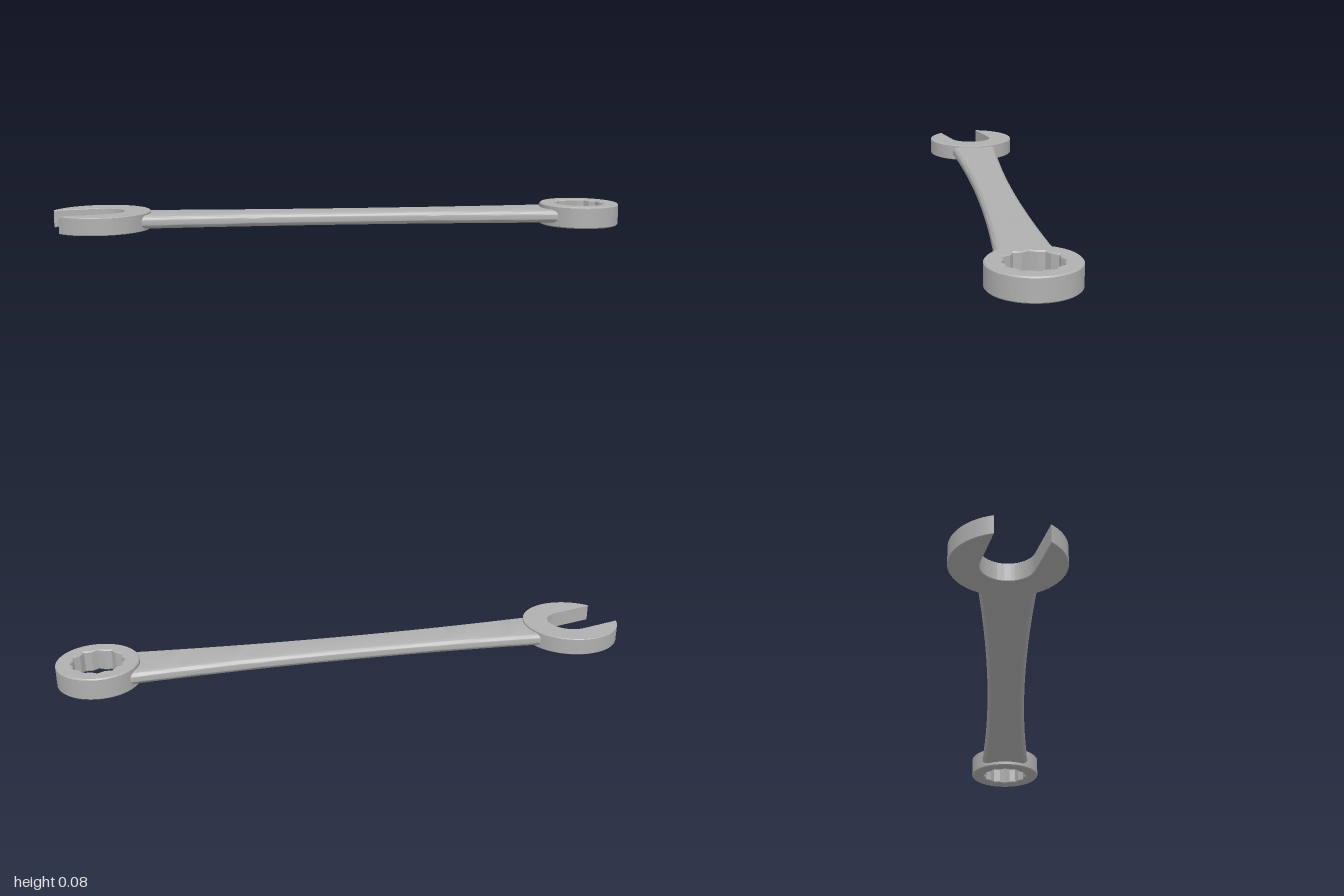
import * as THREE from 'three';
import { toCreasedNormals } from 'three/addons/utils/BufferGeometryUtils.js';

const MID_Y = 0.038; // shared mid-plane of all parts

// Flat plate from a plan outline, with a small chamfer, centred on the mid-plane
function plate(shape, height, chamfer) {
  const geo = new THREE.ExtrudeGeometry(shape, {
    depth: height - 2 * chamfer, curveSegments: 64,
    bevelEnabled: true, bevelSegments: 1,
    bevelThickness: chamfer, bevelSize: chamfer, bevelOffset: -chamfer,
  });
  geo.translate(0, 0, chamfer - height / 2);
  geo.rotateX(-Math.PI / 2);
  return toCreasedNormals(geo, 0.5);
}

export function createModel() {
  const group = new THREE.Group();
  const steel = new THREE.MeshStandardMaterial({ color: 0xb0b0b0 });
  steel.name = 'steel';

  function add(name, geo, x) {
    const mesh = new THREE.Mesh(geo, steel);
    mesh.name = name;
    mesh.position.set(x, MID_Y, 0);
    group.add(mesh);
    return mesh;
  }

  // Open jaw: disc with a round-bottomed slot, turned 15 degrees
  const R = 0.17, slot = 0.08;
  const tip = Math.PI - Math.asin(slot / R);
  const jaw = new THREE.Shape();
  jaw.absarc(0, 0, R, -tip, tip, false);
  jaw.lineTo(0, slot);
  jaw.absarc(0, 0, slot, Math.PI / 2, -Math.PI / 2, true);
  jaw.closePath();
  add('openJaw', plate(jaw, 0.06, 0.002), -0.833).rotation.y = Math.PI / 12;

  // Ring end with a twelve-point socket
  const ring = new THREE.Shape();
  ring.absarc(0, 0, 0.139, 0, Math.PI * 2, false);
  const socket = [];
  for (let i = 0; i < 24; i++) {
    const r = i % 2 ? 0.0825 : 0.092, a = -i * Math.PI / 12;
    socket.push(new THREE.Vector2(r * Math.cos(a), r * Math.sin(a)));
  }
  ring.holes.push(new THREE.Path(socket));
  add('ringEnd', plate(ring, 0.076, 0.004), 0.861);

  // Handle: round-edged bar that widens towards both ends
  const r = 0.023, core = 0.043, x0 = -0.72, x1 = 0.762;
  const section = new THREE.Shape();
  section.absarc(core, 0, r, -Math.PI / 2, Math.PI / 2, false);
  section.absarc(-core, 0, r, Math.PI / 2, Math.PI * 1.5, false);
  section.closePath();
  const bar = new THREE.ExtrudeGeometry(section, {
    depth: x1 - x0, steps: 40, curveSegments: 16, bevelEnabled: false,
  });
  bar.rotateY(Math.PI / 2);
  bar.translate(x0, 0, 0);
  const p = bar.attributes.position;
  for (let i = 0; i < p.count; i++) {
    const z = p.getZ(i);
    p.setZ(i, z + Math.sign(z) * 0.024 * (p.getX(i) / 0.7) ** 2);
  }
  add('handle', toCreasedNormals(bar, 0.5), 0);

  return group;
}
